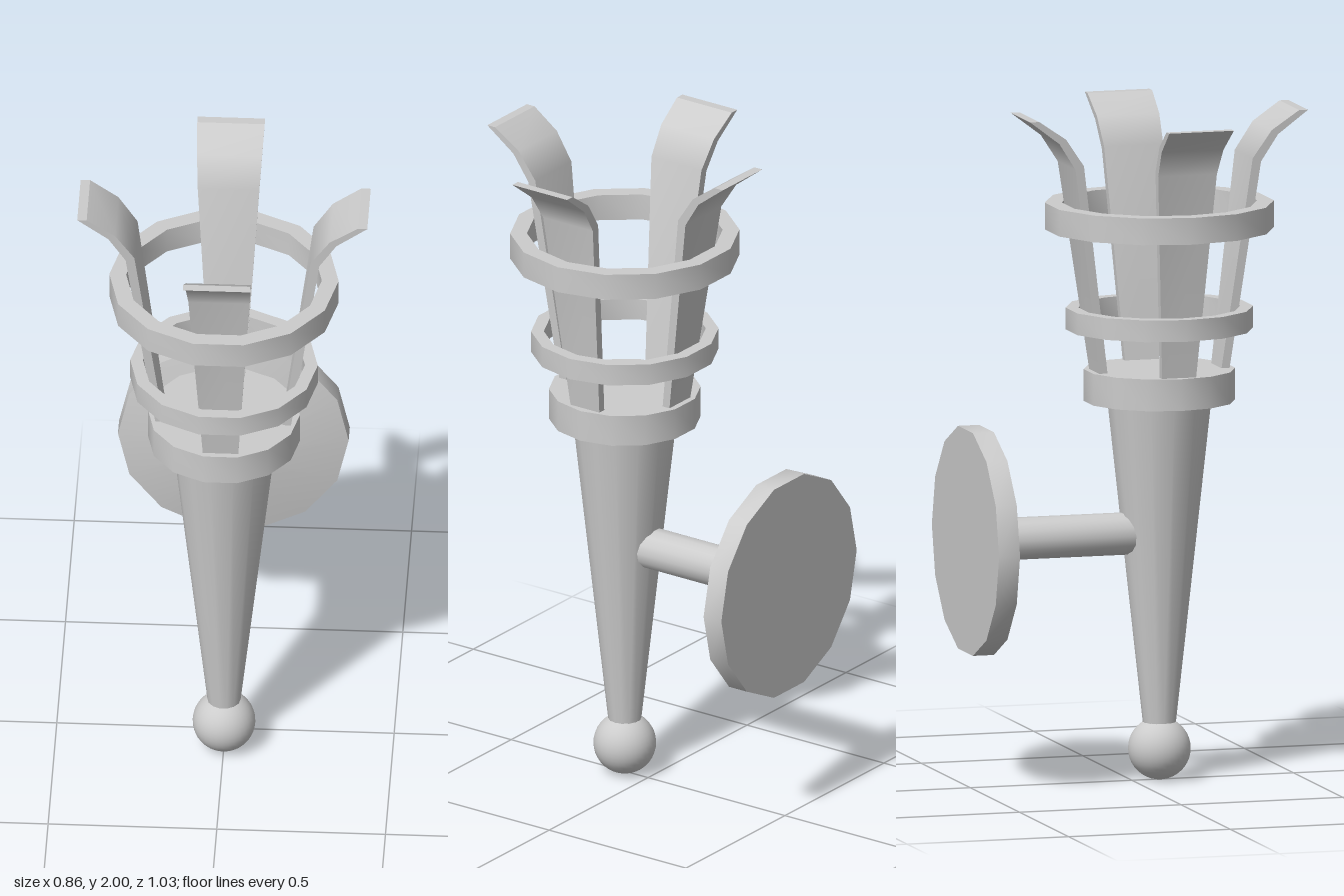
import * as THREE from 'three';
import { toCreasedNormals } from 'three/addons/utils/BufferGeometryUtils.js';

const SIDES = 14;
const AXIS_Z = 0.085; // the torch stands forward of the wall plate
const PLATE_Y = 0.74;

export function createModel() {
  const model = new THREE.Group();
  model.name = 'wallTorch';
  const material = new THREE.MeshStandardMaterial({ color: 0xcccccc });

  const add = (parent, name, geometry) => {
    const mesh = new THREE.Mesh(geometry, material);
    mesh.name = name;
    parent.add(mesh);
    return mesh;
  };

  // Turned part with a corner on the x axis; edges sharper than a facet step stay crisp
  const turned = (profile) => {
    const points = profile.map(([r, y]) => new THREE.Vector2(r, y));
    const geometry = new THREE.LatheGeometry(points, SIDES).rotateY(Math.PI / 2);
    return toCreasedNormals(geometry, 0.6);
  };

  const torch = new THREE.Group();
  torch.name = 'torch';
  torch.position.z = AXIS_Z;
  model.add(torch);

  // Ball finial, tapered handle and solid collar
  add(torch, 'finial', new THREE.SphereGeometry(0.093, 32, 20)).position.y = 0.093;
  add(torch, 'handle', turned([[0, 0.15], [0.047, 0.15], [0.155, 1.14], [0, 1.14]]));
  add(torch, 'collar', turned([[0, 1.135], [0.225, 1.135], [0.225, 1.23], [0, 1.23]]));

  // Basket hoops: inner radius, outer radius, bottom, top
  const hoops = [
    ['lowerHoop', 0.24, 0.278, 1.35, 1.415],
    ['upperHoop', 0.29, 0.34, 1.65, 1.73],
  ];
  for (const [name, ri, ro, y0, y1] of hoops) {
    add(torch, name, turned([[ri, y0], [ro, y0], [ro, y1], [ri, y1], [ri, y0]]));
  }

  // Four flared prongs
  const prong = prongGeometry();
  for (let i = 0; i < 4; i++) {
    add(torch, 'prong' + (i + 1), prong).rotation.y = i * Math.PI / 2;
  }

  // Wall mount: bevelled plate and arm, turned along z
  const mount = new THREE.Group();
  mount.name = 'wallMount';
  mount.position.y = PLATE_Y;
  mount.rotation.x = Math.PI / 2;
  model.add(mount);
  add(mount, 'wallPlate', turned([[0, -0.515], [0.342, -0.515], [0.342, -0.45], [0.063, -0.393], [0, -0.393]]));
  add(mount, 'arm', turned([[0, -0.42], [0.063, -0.42], [0.063, 0.03], [0, 0.03]]));

  return model;
}

// Flat strap whose rows follow inner and outer [radius, y] profiles and widen upward
function prongGeometry() {
  const inner = [[0.175, 1.22], [0.261, 1.86], [0.318, 1.943], [0.402, 2]];
  const outer = [[0.2, 1.22], [0.287, 1.85], [0.338, 1.93], [0.43, 2]];
  const geometry = new THREE.BoxGeometry(1, 1, 1, 1, 3, 1);
  const p = geometry.attributes.position;
  for (let i = 0; i < p.count; i++) {
    const row = Math.round((p.getY(i) + 0.5) * 3);
    const [r, y] = (p.getZ(i) > 0 ? outer : inner)[row];
    const halfWidth = 0.052 + 0.048 * (y - 1.22) / 0.78;
    p.setXYZ(i, Math.sign(p.getX(i)) * halfWidth, y, r);
  }
  geometry.computeVertexNormals();
  return geometry;
}
